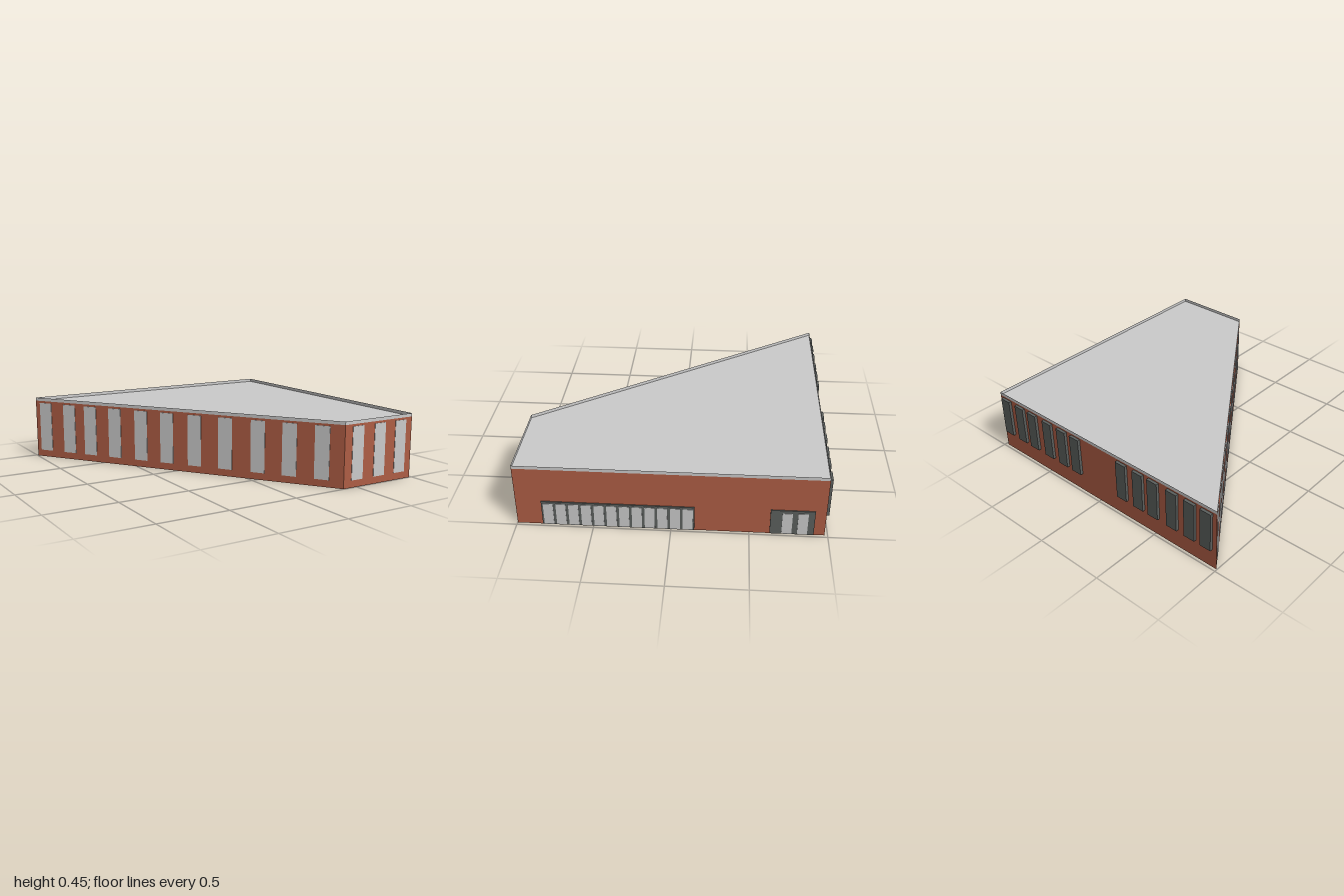
import * as THREE from 'three';
import { mergeGeometries } from 'three/addons/utils/BufferGeometryUtils.js';

const mat = (color, side = THREE.FrontSide) => new THREE.MeshStandardMaterial({ color, side });
const brick = mat(0xaf5e45, THREE.DoubleSide);
const grey = mat(0xcccccc, THREE.DoubleSide);
const glass = mat(0xcccccc);
const dark = mat(0x5c605e);

// Footprint corners [x, z], in order along the front, right, back and slanted walls
const corners = [[0.39, 0.997], [0.98, 0.997], [0.98, -0.98], [-0.995, -0.98]];
const WALL = 0.43, TOP = 0.453;

// Open ring of flat walls following the footprint
function ring(y0, y1) {
  const walls = corners.map(([ax, az], i) => {
    const [bx, bz] = corners[(i + 1) % corners.length];
    const g = new THREE.PlaneGeometry(Math.hypot(bx - ax, bz - az), y1 - y0);
    g.rotateY(-Math.atan2(bz - az, bx - ax));
    return g.translate((ax + bx) / 2, (y0 + y1) / 2, (az + bz) / 2);
  });
  return mergeGeometries(walls);
}

// Horizontal sheet covering the footprint
function sheet(y) {
  const shape = new THREE.Shape(corners.map(([x, z]) => new THREE.Vector2(x, -z)));
  return new THREE.ShapeGeometry(shape).rotateX(-Math.PI / 2).translate(0, y, 0);
}

// Box given by its lower and upper limits
function box(x0, x1, y0, y1, z0, z1) {
  return new THREE.BoxGeometry(x1 - x0, y1 - y0, z1 - z0)
    .translate((x0 + x1) / 2, (y0 + y1) / 2, (z0 + z1) / 2);
}

export function createModel() {
  const model = new THREE.Group();
  const add = (name, geometry, material) => {
    const mesh = new THREE.Mesh(geometry, material);
    mesh.name = name;
    model.add(mesh);
  };

  // Shell, open underneath, with a thin parapet around the sunken roof
  add('brickWalls', ring(0, WALL), brick);
  add('ceiling', sheet(WALL - 0.004), brick);
  add('roofDeck', sheet(WALL), grey);
  add('parapet', ring(WALL, TOP), grey);

  // Tall front windows
  for (const x of [0.502, 0.693, 0.878])
    add('frontWindow', box(x - 0.048, x + 0.048, 0.05, 0.415, 0.99, 1), glass);

  // Tall windows along the slanted wall
  const [fx, fz] = corners[0], [bx, bz] = corners[3];
  const angle = -Math.atan2(fz - bz, fx - bx);
  for (const x of [-0.945, -0.825, -0.72, -0.6, -0.475, -0.355, -0.23, -0.095, 0.043, 0.173, 0.303]) {
    const z = bz + (x - bx) * (fz - bz) / (fx - bx);
    const g = box(-0.051, 0.051, 0.05, 0.415, -0.001, 0.004);
    add('slantedWindow', g.rotateY(angle).translate(x, 0, z), glass);
  }

  // Two groups of dark projecting windows on the back
  for (const x of [-0.92, -0.793, -0.65, -0.493, -0.367, -0.222, 0.207, 0.337, 0.48, 0.635, 0.765, 0.91])
    add('backWindow', box(x - 0.042, x + 0.042, 0.14, 0.42, -1, -0.975), dark);

  // Low glazed frames on the right wall, running into the building
  add('longFrame', box(0.885, 0.987, 0.004, 0.185, -0.15, 0.83), dark);
  add('entranceFrame', box(0.885, 0.987, 0.004, 0.19, -0.91, -0.63), dark);
  const panes = [-0.737, -0.836];
  for (let i = 0; i < 12; i++) panes.push(0.786 - i * 0.0813);
  for (const z of panes)
    add('framePane', box(0.98, 0.99, 0.008, 0.17, z - 0.032, z + 0.032), glass);

  return model;
}
